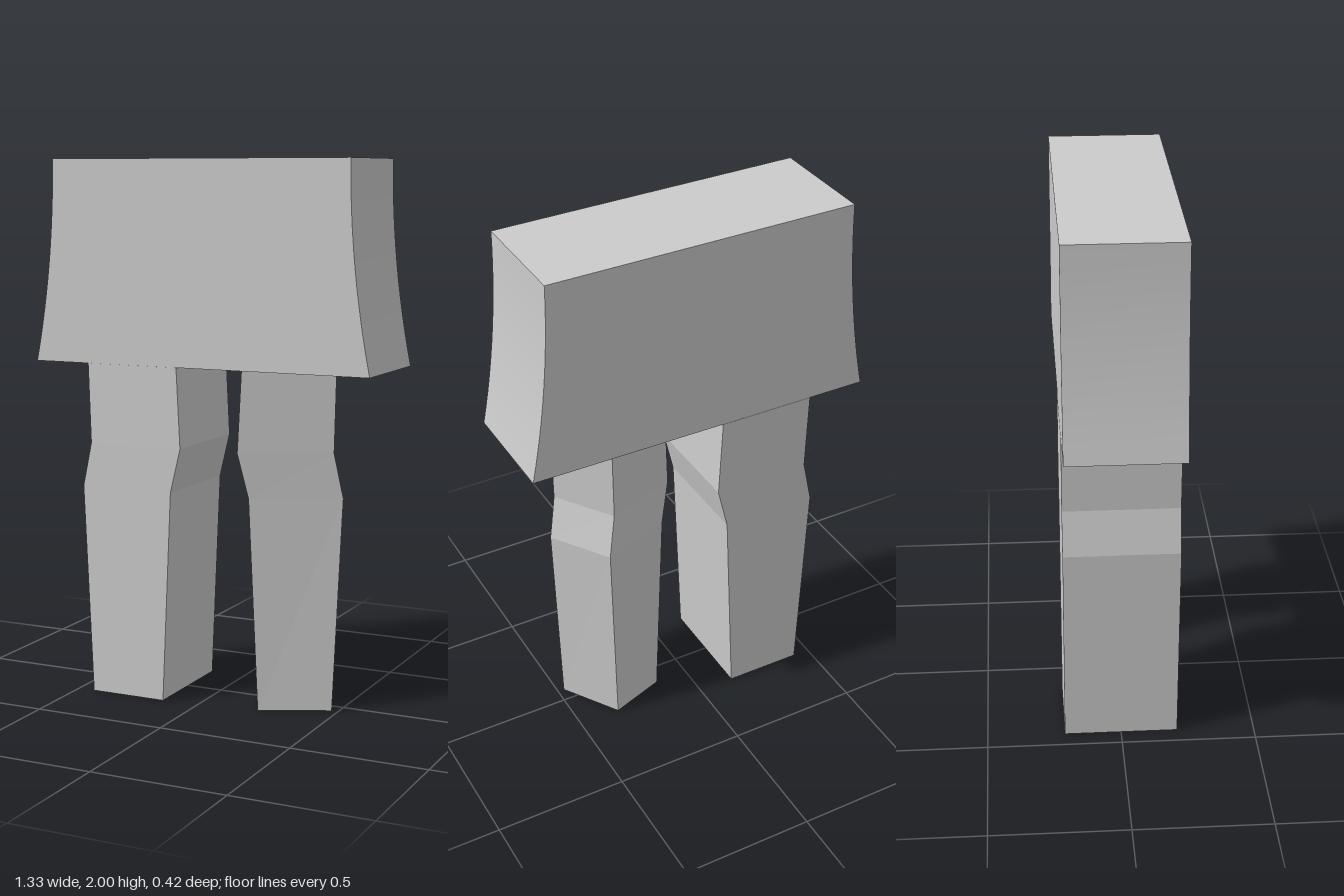
import * as THREE from 'three';
import { toCreasedNormals } from 'three/addons/utils/BufferGeometryUtils.js';

const grey = new THREE.MeshStandardMaterial({ color: 0xcccccc });
const flatGrey = new THREE.MeshStandardMaterial({ color: 0xcccccc, flatShading: true });

// Closed prism through four-cornered rings, listed bottom to top.
// Each ring holds [x, z] corners running counterclockwise seen from above.
function loft(heights, rings) {
  const points = [];
  const index = [];
  rings.forEach((ring, r) => ring.forEach(([x, z]) => points.push(x, heights[r], z)));
  for (let r = 0; r < rings.length - 1; r++) {
    for (let i = 0; i < 4; i++) {
      const a = r * 4 + i;
      const b = r * 4 + (i + 1) % 4;
      index.push(a, b, b + 4, a, b + 4, a + 4);
    }
  }
  const top = (rings.length - 1) * 4;
  index.push(0, 2, 1, 0, 3, 2, top, top + 1, top + 2, top, top + 2, top + 3);
  const indexed = new THREE.BufferGeometry();
  indexed.setAttribute('position', new THREE.Float32BufferAttribute(points, 3));
  indexed.setIndex(index);
  const geometry = indexed.toNonIndexed();
  geometry.computeVertexNormals();
  return geometry;
}

function addPart(group, name, geometry, material) {
  const mesh = new THREE.Mesh(geometry, material);
  mesh.name = name;
  group.add(mesh);
}

export function createModel() {
  const model = new THREE.Group();
  model.name = 'legsAndSkirt';

  // Skirt block with sides that flare out towards the hem
  const topY = 2, hemY = 1.252, topX = 0.587, hemX = 0.665, depth = 0.42;
  const midY = (topY + hemY) / 2;
  const outline = new THREE.Shape();
  outline.moveTo(-hemX, hemY);
  outline.lineTo(hemX, hemY);
  outline.quadraticCurveTo(topX, midY, topX, topY);
  outline.lineTo(-topX, topY);
  outline.quadraticCurveTo(-topX, midY, -hemX, hemY);
  const skirt = new THREE.ExtrudeGeometry(outline, { depth, bevelEnabled: false, curveSegments: 12 });
  skirt.translate(0, 0, -depth / 2);
  addPart(model, 'skirt', toCreasedNormals(skirt, 0.5), grey);

  // Foot, below the knee, above the knee, hem
  const heights = [0, 0.79, 0.955, hemY];

  // Right leg, facing straight ahead: [outer x, inner x]
  const rightSides = [[-0.435, -0.14], [-0.47, -0.105], [-0.435, -0.065], [-0.445, -0.08]];
  const d = 0.211;
  const rightRings = rightSides.map(([o, i]) => [[i, d], [i, -d], [o, -d], [o, d]]);
  addPart(model, 'rightLeg', loft(heights, rightRings), flatGrey);

  // Left leg, turned outwards: outer, back, inner and front corners
  const leftRings = [
    [[0.475, 0.055], [0.34, -0.155], [0.13, -0.083], [0.23, 0.17]],
    [[0.505, 0.037], [0.365, -0.175], [0.10, -0.08], [0.20, 0.19]],
    [[0.475, 0.055], [0.335, -0.155], [0.065, -0.06], [0.165, 0.212]],
    [[0.48, 0.05], [0.34, -0.16], [0.08, -0.07], [0.178, 0.205]],
  ];
  addPart(model, 'leftLeg', loft(heights, leftRings), flatGrey);

  return model;
}
